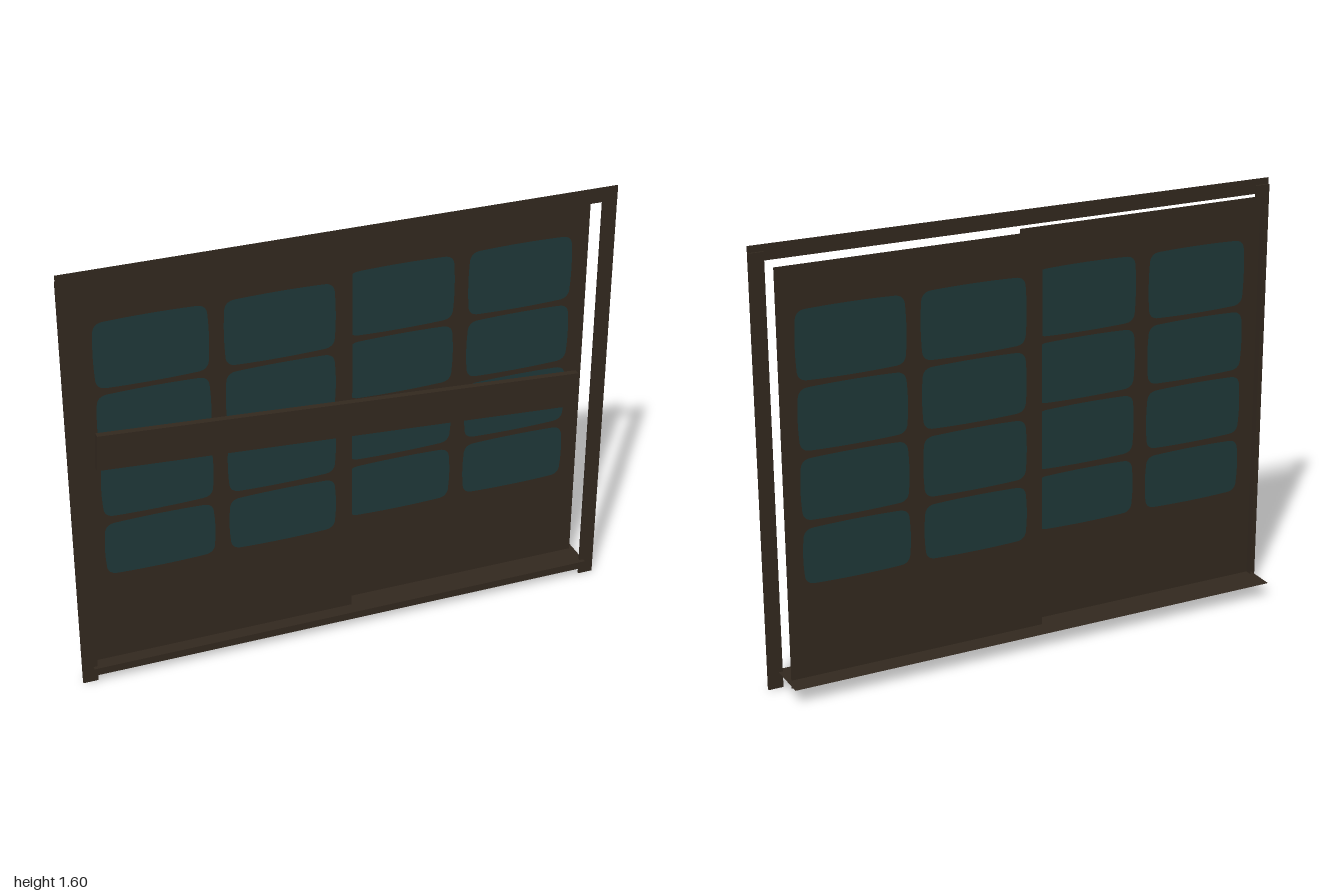
import * as THREE from 'three';

export function createModel() {
  const root = new THREE.Group();
  root.name = 'slidingDoor';

  const wood = new THREE.MeshStandardMaterial({ color: 0x33291f, side: THREE.DoubleSide });
  wood.name = 'darkWood';
  const glass = new THREE.MeshStandardMaterial({ color: 0x1f3839, side: THREE.DoubleSide });
  glass.name = 'tealGlass';

  function add(parent, name, geometry, material, x, y, z) {
    const mesh = new THREE.Mesh(geometry, material);
    mesh.name = name;
    mesh.position.set(x, y, z);
    parent.add(mesh);
    return mesh;
  }

  // Rounded pane with softly bowed edges, centred on the origin
  function paneGeometry(w, h) {
    const a = w / 2, b = h / 2, r = 0.045, e = 0.003;
    const s = new THREE.Shape();
    s.moveTo(-a + r, -b + e);
    s.quadraticCurveTo(0, -b - e, a - r, -b + e);
    s.quadraticCurveTo(a - e, -b + e, a - e, -b + r);
    s.quadraticCurveTo(a + e, 0, a - e, b - r);
    s.quadraticCurveTo(a - e, b - e, a - r, b - e);
    s.quadraticCurveTo(0, b + e, -a + r, b - e);
    s.quadraticCurveTo(-a + e, b - e, -a + e, b - r);
    s.quadraticCurveTo(-a - e, 0, -a + e, -b + r);
    s.quadraticCurveTo(-a + e, -b + e, -a + r, -b + e);
    return new THREE.ShapeGeometry(s, 8);
  }

  // Two overlapping sheet doors, each with a 2 x 4 set of panes on both faces
  const doorW = 0.975, bottom = 0.03, top = 1.54;
  const doorH = top - bottom, midY = (top + bottom) / 2;
  const rows = [[1.138, 1.39], [0.89, 1.12], [0.64, 0.87], [0.406, 0.618]];
  function addDoor(name, x, z) {
    const door = new THREE.Group();
    door.name = name;
    door.position.set(x, 0, z);
    root.add(door);
    add(door, 'doorPanel', new THREE.PlaneGeometry(doorW, doorH), wood, 0, midY, 0);
    for (const [y0, y1] of rows) {
      const pane = paneGeometry(0.4, y1 - y0);
      for (const px of [-0.226, 0.226]) {
        add(door, 'frontPane', pane, glass, px, (y0 + y1) / 2, 0.0015);
        add(door, 'backPane', pane, glass, px, (y0 + y1) / 2, -0.0015).rotation.y = Math.PI;
      }
    }
    return door;
  }
  addDoor('leftDoor', 0.4575, -0.013);
  const rightDoor = addDoor('rightDoor', -0.4575, 0.039);

  // Edges of the front door folded back
  for (const side of [-1, 1]) {
    add(rightDoor, 'doorEdge', new THREE.PlaneGeometry(0.028, doorH), wood,
      side * doorW / 2, midY, -0.014).rotation.y = side * Math.PI / 2;
  }

  // Thin frame in front of the doors
  for (const side of [-1, 1]) {
    add(root, side < 0 ? 'rightPost' : 'leftPost', new THREE.BoxGeometry(0.055, 1.572, 0.008), wood,
      side * 0.9725, 0.786, 0.071);
  }
  add(root, 'topRail', new THREE.PlaneGeometry(2, 0.056), wood, 0, 1.568, 0.0755);

  // Sill sheet with a lip folded down along the front
  add(root, 'sill', new THREE.PlaneGeometry(1.92, 0.18), wood, 0, 0.06, 0)
    .rotation.x = -Math.PI / 2;
  add(root, 'sillLip', new THREE.PlaneGeometry(1.92, 0.028), wood, 0, 0.046, 0.09);

  // Slanted plank barring the doors
  add(root, 'barricadePlank', new THREE.BoxGeometry(1.79, 0.132, 0.025), wood, -0.003, 0.861, 0.0565)
    .rotation.z = -0.06;

  return root;
}
